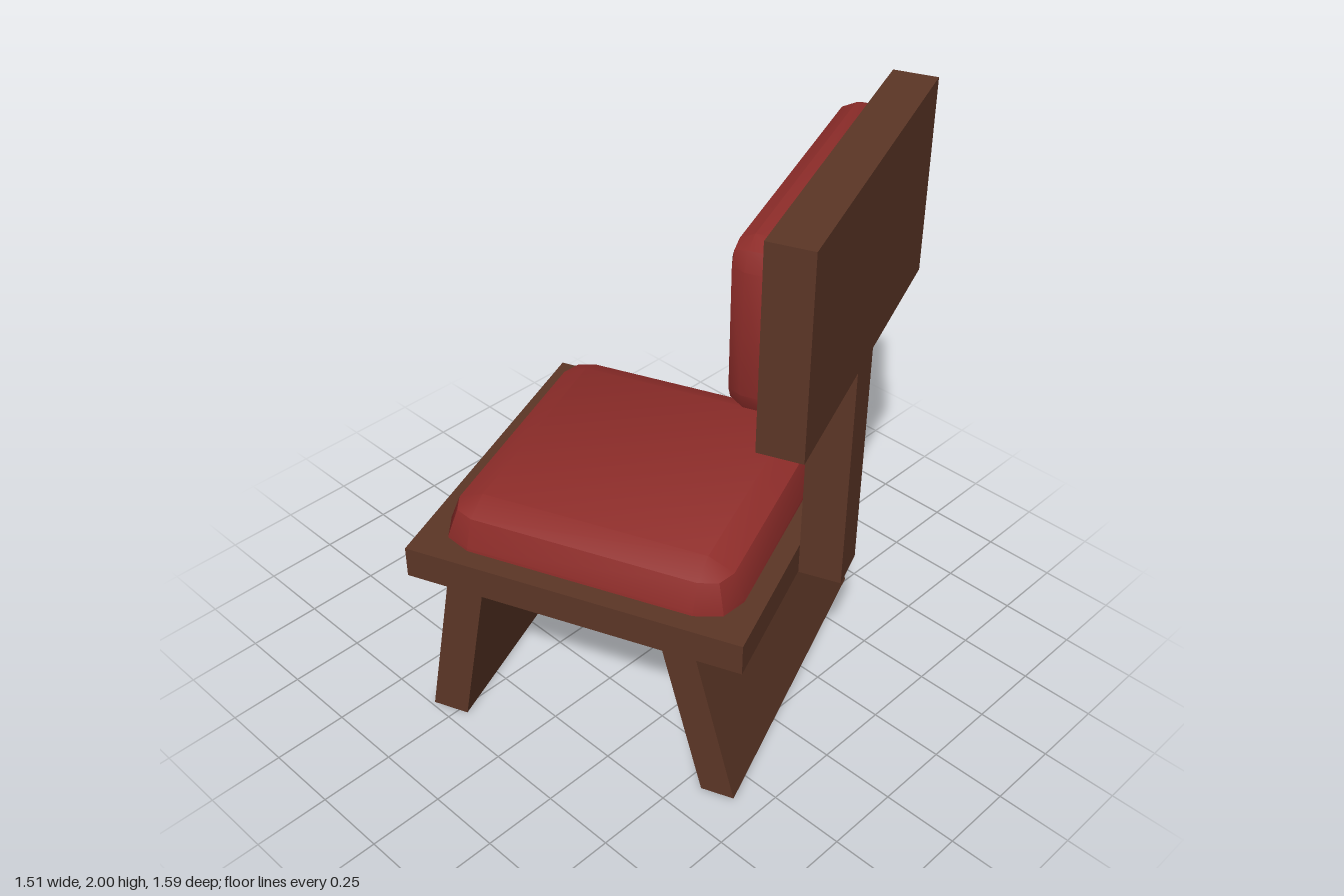
import * as THREE from 'three';
import { toCreasedNormals } from 'three/addons/utils/BufferGeometryUtils.js';

const wood = new THREE.MeshStandardMaterial({ color: 0x5c3626 });
const leather = new THREE.MeshStandardMaterial({ color: 0x8f2d2a });

function addBox(group, name, [x0, x1], [y0, y1], [z0, z1]) {
  const mesh = new THREE.Mesh(new THREE.BoxGeometry(x1 - x0, y1 - y0, z1 - z0), wood);
  mesh.position.set((x0 + x1) / 2, (y0 + y1) / 2, (z0 + z1) / 2);
  mesh.name = name;
  group.add(mesh);
}

// Splayed plank: a box whose lower end is pushed along z
function addLegPanel(group, name, topZ, bottomZ, thickness) {
  const height = 0.545;
  const geo = new THREE.BoxGeometry(1.13, height, thickness);
  geo.translate(0, height / 2, 0);
  const p = geo.attributes.position;
  for (let i = 0; i < p.count; i++) {
    p.setZ(i, p.getZ(i) + THREE.MathUtils.lerp(bottomZ, topZ, p.getY(i) / height));
  }
  geo.computeVertexNormals();
  const mesh = new THREE.Mesh(geo, wood);
  mesh.name = name;
  group.add(mesh);
}

// Pad with a two-step rounded rim and corners; base at y = 0, top at y = h
function cushionGeometry(w, d, h, r, rise) {
  const s = Math.SQRT1_2;
  const levels = [[r, 0], [r, h - rise], [r * s, h - rise * (1 - s)], [0, h]];
  const rings = levels.map(([rad, y]) => {
    const ring = [];
    for (let c = 0; c < 4; c++) {
      const sx = c === 0 || c === 3 ? 1 : -1;
      const sz = c < 2 ? 1 : -1;
      for (let k = 0; k < 3; k++) {
        const a = c * Math.PI / 2 + k * Math.PI / 4;
        ring.push([sx * (w / 2 - r) + rad * Math.cos(a), y, sz * (d / 2 - r) + rad * Math.sin(a)]);
      }
    }
    return ring;
  });
  const pos = [];
  const tri = (...pts) => pts.forEach((q) => pos.push(...q));
  for (let l = 0; l < 3; l++) {
    if (levels[l + 1][1] - levels[l][1] < 1e-4) continue;
    for (let i = 0; i < 12; i++) {
      const j = (i + 1) % 12;
      const lo = rings[l], hi = rings[l + 1];
      tri(lo[i], hi[i], lo[j]);
      // corner triangles meet in one point on the last level
      if (l < 2 || i % 3 === 2) tri(hi[i], hi[j], lo[j]);
    }
  }
  const top = rings[3];
  tri(top[0], top[6], top[3]);
  tri(top[0], top[9], top[6]);
  const geo = new THREE.BufferGeometry();
  geo.setAttribute('position', new THREE.Float32BufferAttribute(pos, 3));
  return toCreasedNormals(geo, Math.PI / 6);
}

export function createModel() {
  const model = new THREE.Group();
  model.name = 'chair';
  const chair = new THREE.Group();
  chair.name = 'turnedChair';
  chair.position.set(-0.0235, 0, -0.0625);
  chair.rotation.y = 0.376;
  model.add(chair);

  // Wooden frame
  addBox(chair, 'seat', [-0.565, 0.565], [0.545, 0.655], [-0.565, 0.565]);
  addBox(chair, 'backPost', [-0.066, 0.078], [0.545, 1.36], [0.566, 0.707]);
  addBox(chair, 'backrest', [-0.541, 0.558], [1.35, 2], [0.57, 0.709]);
  addLegPanel(chair, 'frontLegPanel', -0.363, -0.455, 0.123);
  addLegPanel(chair, 'backLegPanel', 0.364, 0.498, 0.11);

  // Seat pad
  const seatPad = new THREE.Mesh(cushionGeometry(1, 1, 0.14, 0.12, 0.13), leather);
  seatPad.name = 'seatCushion';
  seatPad.position.y = 0.655;
  chair.add(seatPad);

  // Back pad, facing away from the post
  const backPad = new THREE.Mesh(cushionGeometry(0.99, 0.53, 0.128, 0.075, 0.06), leather);
  backPad.name = 'backCushion';
  backPad.rotation.x = -Math.PI / 2;
  backPad.position.set(0.006, 1.675, 0.571);
  chair.add(backPad);

  return model;
}
